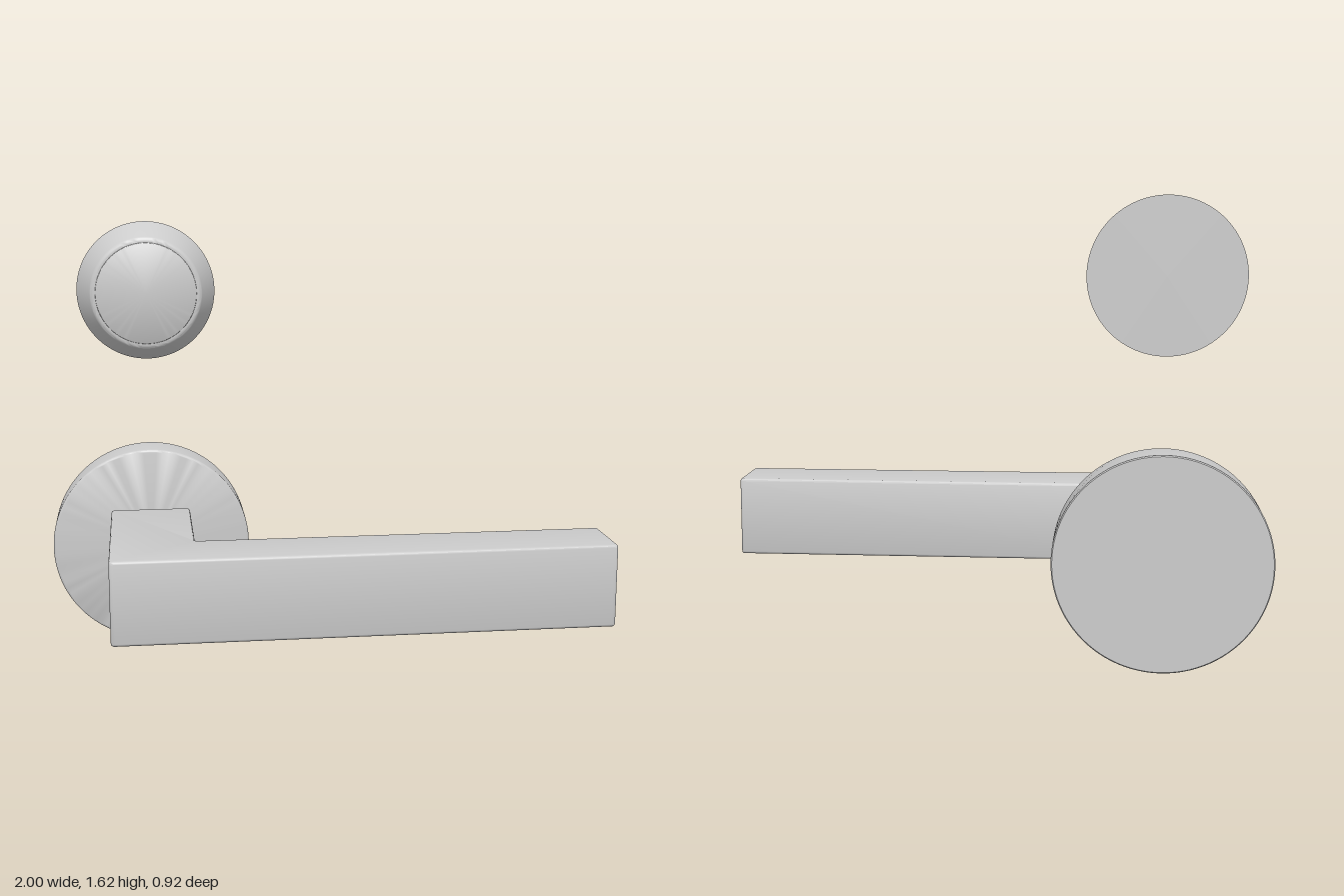
import * as THREE from 'three';
import { toCreasedNormals } from 'three/addons/utils/BufferGeometryUtils.js';

const material = new THREE.MeshStandardMaterial({ color: 0xcccccc });
const AXIS_X = -0.622;

function addMesh(group, name, geometry) {
  const mesh = new THREE.Mesh(toCreasedNormals(geometry, 0.6), material);
  mesh.name = name;
  group.add(mesh);
  return mesh;
}

// Turned part about the z axis; profile is [radius, z] from back to front
function addTurned(group, name, y, profile) {
  const points = profile.map(([r, z]) => new THREE.Vector2(r, z));
  const geometry = new THREE.LatheGeometry(points, 96).rotateX(Math.PI / 2);
  addMesh(group, name, geometry).position.set(AXIS_X, y, 0);
}

// Quarter-round [radius, z] points easing a front outer edge
function frontFillet(radius, z, f) {
  return [0, 1, 2, 3, 4].map((i) => {
    const a = (i / 4) * Math.PI / 2;
    return [radius - f + f * Math.cos(a), z - f + f * Math.sin(a)];
  });
}

// Polygon with every corner slightly rounded
function roundedPolygon(corners, r) {
  const pts = corners.map(([x, y]) => new THREE.Vector2(x, y));
  const shape = new THREE.Shape();
  pts.forEach((p, i) => {
    const prev = pts[(i + pts.length - 1) % pts.length];
    const next = pts[(i + 1) % pts.length];
    const a = prev.clone().sub(p).setLength(r).add(p);
    const b = next.clone().sub(p).setLength(r).add(p);
    if (i === 0) shape.moveTo(a.x, a.y);
    else shape.lineTo(a.x, a.y);
    shape.quadraticCurveTo(p.x, p.y, b.x, b.y);
  });
  shape.closePath();
  return shape;
}

export function createModel() {
  const group = new THREE.Group();
  group.name = 'doorHandle';

  // L-shaped lever: plan outline in (x, -z), extruded upward
  const bevel = 0.01;
  const outline = roundedPolygon([
    [-0.774, -0.46], [0.997, -0.46], [0.997, -0.212],
    [-0.474, -0.212], [-0.474, 0.274], [-0.774, 0.274],
  ], 0.016);
  const lever = new THREE.ExtrudeGeometry(outline, {
    depth: 0.3 - 2 * bevel, curveSegments: 5,
    bevelEnabled: true, bevelThickness: bevel, bevelSize: bevel,
    bevelOffset: -bevel, bevelSegments: 3,
  });
  lever.rotateX(-Math.PI / 2).translate(0, 0.232 + bevel, 0);
  addMesh(group, 'lever', lever);

  // Neck between lever and rose
  addTurned(group, 'neck', 0.382, [
    [0, -0.31], [0.132, -0.31], [0.132, -0.265], [0, -0.265],
  ]);

  // Round backplate
  addTurned(group, 'rose', 0.38, [
    [0, -0.46], [0.374, -0.46], [0.378, -0.456],
    ...frontFillet(0.378, -0.3, 0.01), [0, -0.3],
  ]);

  // Tapered lock cover with a slightly raised face
  addTurned(group, 'lockCover', 1.355, [
    [0, -0.46], [0.265, -0.46], [0.213, -0.342], [0.209, -0.336],
    [0.203, -0.332], [0.195, -0.331], [0.191, -0.331],
    ...frontFillet(0.191, -0.324, 0.004), [0, -0.324],
  ]);

  return group;
}
